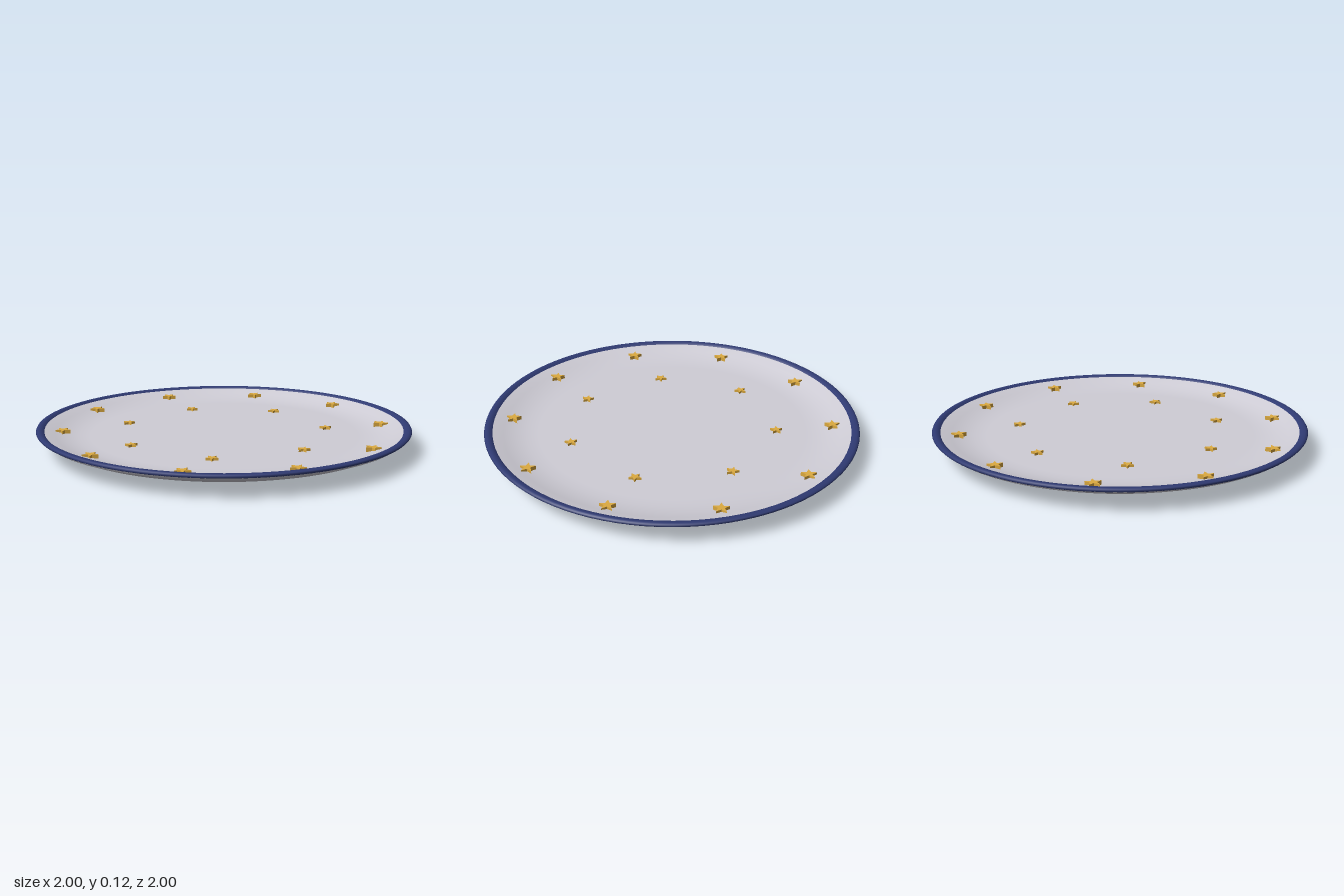
import * as THREE from 'three';

const glaze = new THREE.MeshStandardMaterial({ color: 0xcfcdd6 });
glaze.name = 'pale glaze';
const navy = new THREE.MeshStandardMaterial({ color: 0x2f3a72 });
navy.name = 'navy rim';
const gold = new THREE.MeshStandardMaterial({ color: 0xdcaa40 });
gold.name = 'gold';

const lathe = (name, points, material) => {
  const profile = points.map(([r, y]) => new THREE.Vector2(r, y));
  const mesh = new THREE.Mesh(new THREE.LatheGeometry(profile, 96), material);
  mesh.name = name;
  return mesh;
};

// Five-pointed star lying flat, one tip towards -z
function starGeometry(radius, height) {
  const shape = new THREE.Shape();
  for (let i = 0; i < 10; i++) {
    const r = i % 2 ? radius * 0.42 : radius;
    const a = Math.PI / 2 + (i * Math.PI) / 5;
    if (i) shape.lineTo(r * Math.cos(a), r * Math.sin(a));
    else shape.moveTo(r * Math.cos(a), r * Math.sin(a));
  }
  shape.closePath();
  const geometry = new THREE.ExtrudeGeometry(shape, { depth: height, bevelEnabled: false });
  return geometry.rotateX(-Math.PI / 2);
}

// Ring of evenly spaced stars
function starRing(name, count, ringRadius, start, y, geometry, turn) {
  const ring = new THREE.Group();
  ring.name = name;
  for (let i = 0; i < count; i++) {
    const a = start + (i * 2 * Math.PI) / count;
    const star = new THREE.Mesh(geometry, gold);
    star.name = 'star';
    star.position.set(ringRadius * Math.cos(a), y, ringRadius * Math.sin(a));
    star.rotation.y = turn * a;
    ring.add(star);
  }
  return ring;
}

export function createModel() {
  const plate = new THREE.Group();
  plate.name = 'plate';

  // Underside with foot ring, up to the edge, then the shallow dished top
  plate.add(lathe('dish', [
    [0, 0.018], [0.36, 0.018], [0.42, 0.002], [0.45, 0], [0.565, 0], [0.6, 0.02],
    [0.78, 0.03], [0.9, 0.056], [0.97, 0.085], [0.995, 0.102],
    [0.985, 0.112], [0.955, 0.108], [0.9, 0.089], [0.84, 0.074], [0.78, 0.066],
    [0.72, 0.064], [0, 0.064],
  ], glaze));

  // Coloured lip
  plate.add(lathe('rimBand', [
    [0.994, 0.101], [1, 0.108], [0.996, 0.115], [0.985, 0.119], [0.968, 0.118], [0.955, 0.107],
  ], navy));

  // Raised stars on the slope and on the flat
  plate.add(starRing('rimStars', 10, 0.862, 0, 0.076, starGeometry(0.042, 0.021), 0));
  plate.add(starRing('centreStars', 7, 0.562, 0.6, 0.062, starGeometry(0.034, 0.015), 1));
  return plate;
}
